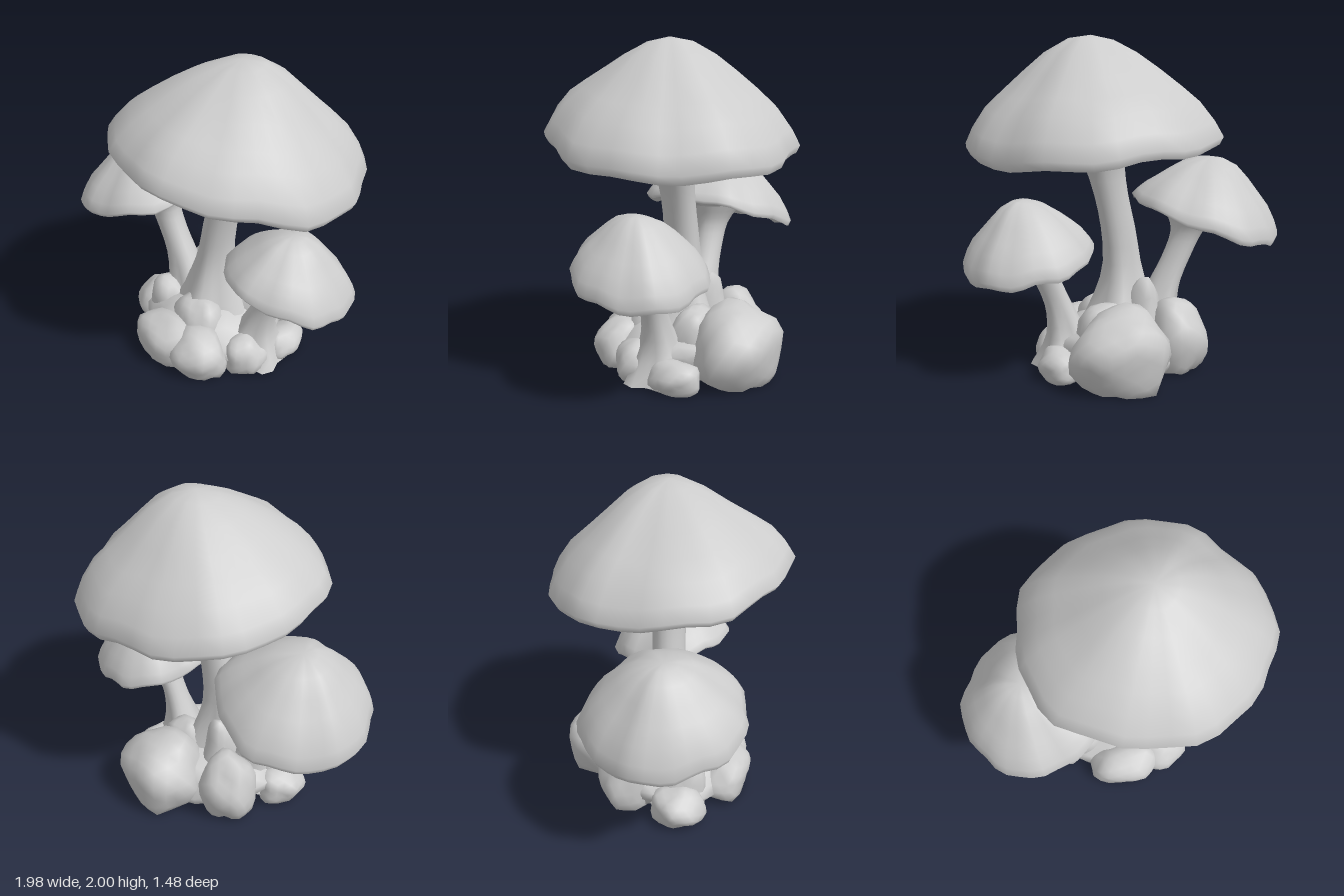
import * as THREE from 'three';
import { mergeVertices } from 'three/addons/utils/BufferGeometryUtils.js';

const clay = new THREE.MeshStandardMaterial({ color: 0xcccccc });
clay.name = 'pale grey';

// Weld a geometry, move each vertex by a rule and recompute the normals
function shaped(geometry, rule) {
  geometry.deleteAttribute('normal');
  geometry.deleteAttribute('uv');
  const welded = mergeVertices(geometry, 1e-4);
  const pos = welded.attributes.position;
  const v = new THREE.Vector3();
  for (let i = 0; i < pos.count; i++) {
    rule(v.fromBufferAttribute(pos, i));
    pos.setXYZ(i, v.x, v.y, v.z);
  }
  welded.computeVertexNormals();
  return welded;
}

function part(name, geometry) {
  const mesh = new THREE.Mesh(geometry, clay);
  mesh.name = name;
  return mesh;
}

// Lobed outline and wavy rim height of a cap at an angle from the front towards +x
const lobes = (a, seed) => 1 + 0.02 * Math.sin(5 * a + seed) + 0.015 * Math.sin(11 * a + seed);
const rimHeight = ([mean, front, side, fold], a, seed) => mean + front * Math.cos(a) + side * Math.sin(a)
  + fold * Math.cos(2 * a) + 0.012 * Math.sin(8 * a + seed);

// Profiles as [share of radius, height]: top as a share of cap height, gills in cap radii
const TOP = [[0.97, 0], [1, 0.07], [0.94, 0.21], [0.83, 0.39], [0.7, 0.53], [0.53, 0.71], [0.36, 0.87], [0.18, 0.97], [0, 1]];
const GILLS = [[0.13, -0.14], [0.2, -0.06], [0.32, 0.02], [0.5, 0.05], [0.75, 0.045], [0.97, 0]];
const lathe = (profile) => new THREE.LatheGeometry(profile.map(([r, y]) => new THREE.Vector2(r, y)), 36);

// Irregular dome from the wavy rim to the apex
function capTop({ x, apex, rx, rz, rim, seed }) {
  return shaped(lathe(TOP), (v) => {
    const a = Math.atan2(v.x, v.z);
    const dent = 0.03 * rx * Math.sin(5 * v.x + seed) * Math.sin(6 * v.z + 2 * seed) * v.y;
    const k = lobes(a, seed);
    const y = THREE.MathUtils.lerp(rimHeight(rim, a, seed), apex[1], v.y) + dent;
    v.set(x + v.x * rx * k + (apex[0] - x) * v.y, y, v.z * rz * k);
  });
}

// Ribbed hollow running from the rim in to the stem
function capGills({ x, hub, rx, rz, rim, seed }) {
  return shaped(lathe(GILLS), (v) => {
    const a = Math.atan2(v.x, v.z);
    const r = Math.hypot(v.x, v.z);
    const k = lobes(a, seed);
    const rib = 0.03 * Math.cos(18 * a) * Math.min(r, 0.97 - r);
    const base = THREE.MathUtils.lerp(hub[1], rimHeight(rim, a, seed), (r / 0.97) ** 1.5);
    v.set(x + v.x * rx * k + (hub[0] - x) * (1 - r), base + (v.y + rib) * rx, v.z * rz * k);
  });
}

// Stem through rings of [x, y, radius], with root ridges near the ground
function stem(rings, seed) {
  const path = new THREE.CatmullRomCurve3(rings.map(([x, y, r]) => new THREE.Vector3(x, y, r)));
  return shaped(new THREE.CylinderGeometry(1, 1, 1, 20, 14, true), (v) => {
    const t = THREE.MathUtils.clamp(v.y + 0.5, 0, 1);
    const a = Math.atan2(v.x, v.z);
    const ring = path.getPoint(t);
    const r = ring.z * (1 + 0.05 * Math.sin(3 * a + seed) + 0.16 * Math.max(0, 1 - 2.2 * t) * Math.sin(5 * a + seed));
    v.set(ring.x + v.x * r, ring.y, v.z * r);
  });
}

// Lumpy boulder, sunk in the ground and flattened there
function boulder([x, z, rx, ry, rz], seed) {
  return shaped(new THREE.IcosahedronGeometry(1, 3), (v) => {
    const n = 1 + 0.06 * Math.sin(4 * v.x + seed * 1.9) + 0.06 * Math.sin(5 * v.y + 3 * v.z + seed)
      + 0.04 * Math.sin(7 * v.z - 4 * v.x + seed * 2.7);
    v.set(x + v.x * rx * n, Math.max(0, ry * (0.65 + v.y * n)), z + v.z * rz * n);
  });
}

export function createModel() {
  const group = new THREE.Group();
  group.name = 'mushroomCluster';

  const mushrooms = [
    {
      name: 'tallMushroom', seed: 1, x: 0.18, rx: 0.75, rz: 0.73, apex: [0.21, 1.98], hub: [0.15, 1.43],
      rim: [1.385, 0.083, -0.06, 0.025],
      rings: [[0.02, 0.08, 0.34], [0.02, 0.38, 0.19], [0.02, 0.6, 0.122], [0.05, 0.85, 0.105],
        [0.1, 1.08, 0.105], [0.15, 1.3, 0.14], [0.16, 1.43, 0.25]],
    },
    {
      name: 'rightMushroom', seed: 4.2, x: -0.535, rx: 0.455, rz: 0.48, apex: [-0.58, 1.26], hub: [-0.46, 0.92],
      rim: [0.852, 0.038, 0.129, -0.015],
      rings: [[-0.13, 0.06, 0.24], [-0.2, 0.28, 0.14], [-0.27, 0.47, 0.1], [-0.36, 0.65, 0.09],
        [-0.43, 0.8, 0.105], [-0.48, 0.92, 0.18]],
    },
    {
      name: 'leftMushroom', seed: 2.6, x: 0.605, rx: 0.385, rz: 0.385, apex: [0.63, 1.06], hub: [0.56, 0.73],
      rim: [0.698, 0.068, -0.064, 0.011],
      rings: [[0.36, 0.02, 0.22], [0.37, 0.2, 0.13], [0.42, 0.38, 0.086], [0.48, 0.53, 0.078],
        [0.54, 0.66, 0.095], [0.57, 0.75, 0.16]],
    },
  ];
  mushrooms.forEach((m) => {
    const mushroom = new THREE.Group();
    mushroom.name = m.name;
    mushroom.add(part('capTop', capTop(m)), part('capGills', capGills(m)), part('stem', stem(m.rings, m.seed)));
    group.add(mushroom);
  });

  // Rocky base: centre x, z and radii x, y, z
  const base = new THREE.Group();
  base.name = 'rockyBase';
  const boulders = [
    [0.02, 0, 0.45, 0.2, 0.43],
    [0.18, -0.41, 0.28, 0.28, 0.26],
    [-0.05, 0.36, 0.24, 0.17, 0.18],
    [0.2, 0.34, 0.2, 0.17, 0.17],
    [0.06, 0.2, 0.17, 0.25, 0.16],
    [-0.41, 0.08, 0.15, 0.14, 0.17],
    [-0.27, 0.12, 0.15, 0.21, 0.14],
    [-0.24, -0.25, 0.17, 0.26, 0.18],
    [-0.07, -0.12, 0.13, 0.33, 0.13],
    [0.2, -0.14, 0.15, 0.27, 0.16],
    [0.47, -0.15, 0.13, 0.11, 0.16],
    [0.4, 0.12, 0.13, 0.14, 0.15],
  ];
  boulders.forEach((b, i) => base.add(part('boulder', boulder(b, i * 1.3 + 0.5))));
  group.add(base);
  return group;
}
